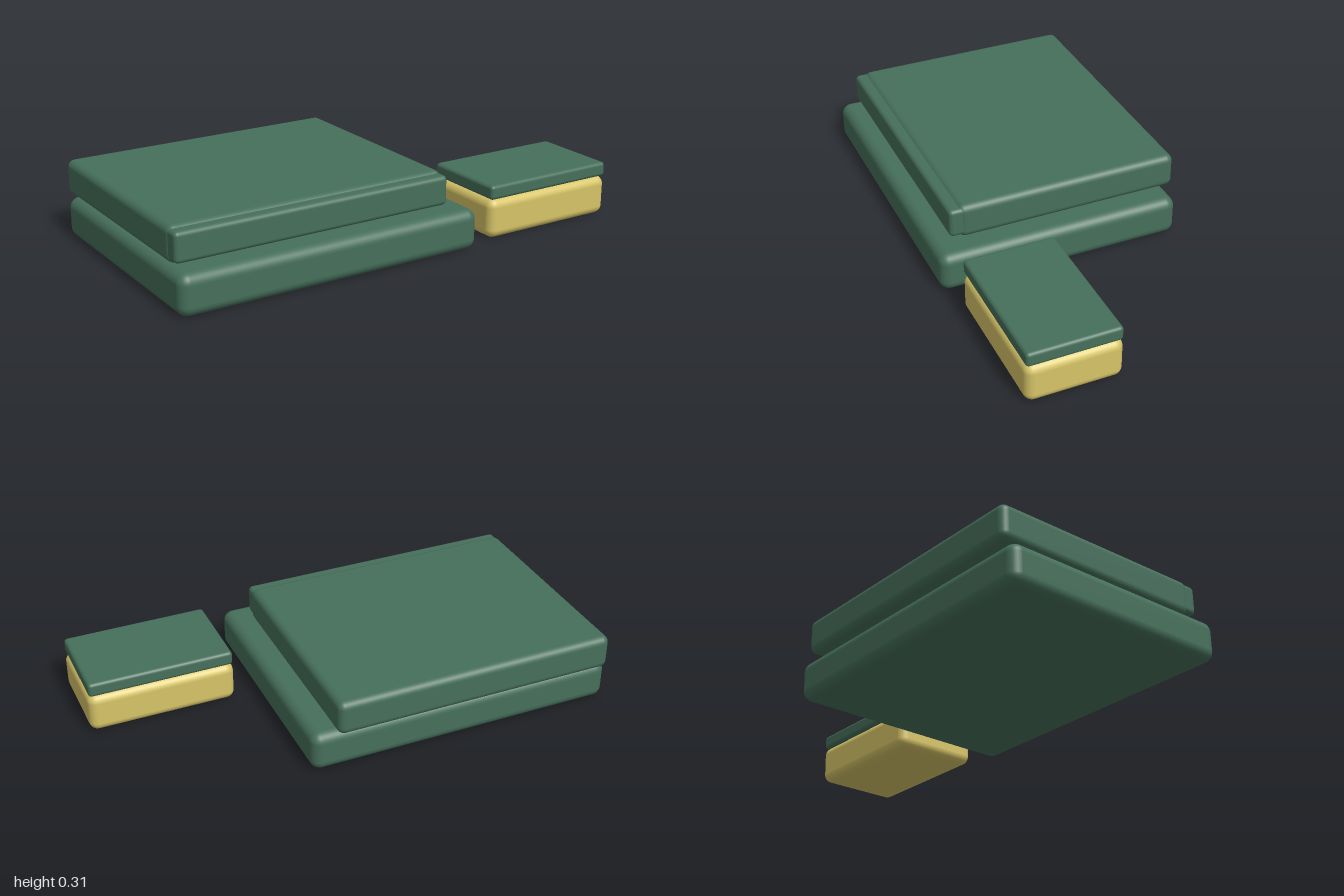
import * as THREE from 'three';
import { RoundedBoxGeometry } from 'three/addons/geometries/RoundedBoxGeometry.js';

export function createModel() {
  const group = new THREE.Group();
  const green = new THREE.MeshStandardMaterial({ color: 0x466f5b });
  green.name = 'cushion green';
  const yellow = new THREE.MeshStandardMaterial({ color: 0xd6c468 });
  yellow.name = 'straw yellow';

  // Soft-edged block given by its lower and upper corners
  function block(name, material, min, max, radius) {
    const size = max.map((v, i) => v - min[i]);
    const mesh = new THREE.Mesh(new RoundedBoxGeometry(...size, 4, radius), material);
    mesh.position.set(...max.map((v, i) => (v + min[i]) / 2));
    mesh.name = name;
    group.add(mesh);
  }

  // Stacked large cushions with a strip along the front edge
  block('baseCushion', green, [-1, 0, -0.495], [0.295, 0.165, 0.525], 0.042);
  block('topCushion', green, [-0.983, 0.166, -0.525], [0.2, 0.31, 0.41], 0.03);
  block('frontStrip', green, [-0.98, 0.18, 0.34], [0.196, 0.3, 0.45], 0.018);

  // Small separate block with its lid
  block('smallBox', yellow, [0.39, 0, 0.095], [1, 0.165, 0.48], 0.036);
  block('smallBoxLid', green, [0.395, 0.165, 0.1], [0.995, 0.225, 0.477], 0.015);

  return group;
}
